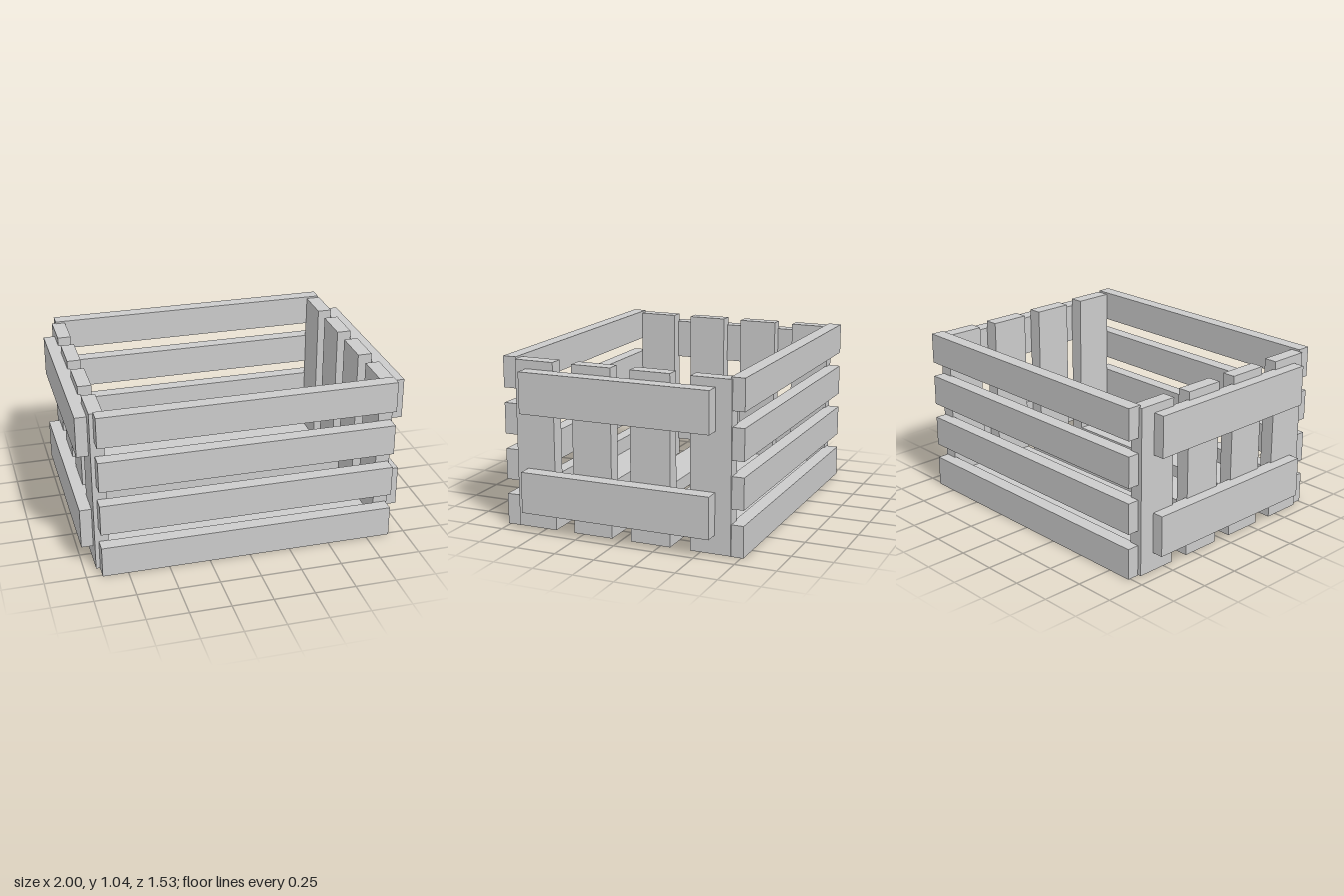
import * as THREE from 'three';

export function createModel() {
  const crate = new THREE.Group();
  crate.name = 'slattedCrate';
  const wood = new THREE.MeshStandardMaterial({ color: 0xcccccc, flatShading: true });

  // One board, given by its extents along each axis
  function board(name, [x0, x1], [y0, y1], [z0, z1]) {
    const mesh = new THREE.Mesh(new THREE.BoxGeometry(x1 - x0, y1 - y0, z1 - z0), wood);
    mesh.position.set((x0 + x1) / 2, (y0 + y1) / 2, (z0 + z1) / 2);
    mesh.name = name;
    crate.add(mesh);
  }

  for (let i = 0; i < 4; i++) {
    // Long horizontal slats on the front and back
    const y = i * 0.2835;
    board('frontSlat', [-0.905, 0.895], [y, y + 0.191], [0.679, 0.764]);
    board('backSlat', [-0.905, 0.895], [y, y + 0.191], [-0.764, -0.679]);

    // Floor planks, each meeting an upright at either end
    const z = -0.69 + i * 0.3727;
    const depth = [z, z + 0.25];
    board('floorPlank', [-0.846, 0.817], [0.005, 0.09], depth);
    board('rightUpright', [-0.929, -0.846], [0.005, 1.03], depth);
    board('leftUpright', [0.817, 0.905], [0.005, 1.03], depth);
  }

  // Outer rails across both ends
  for (const y of [0.12, 0.727]) {
    board('rightRail', [-1, -0.914], [y, y + 0.252], [-0.594, 0.605]);
    board('leftRail', [0.908, 1], [y, y + 0.252], [-0.594, 0.605]);
  }

  return crate;
}
